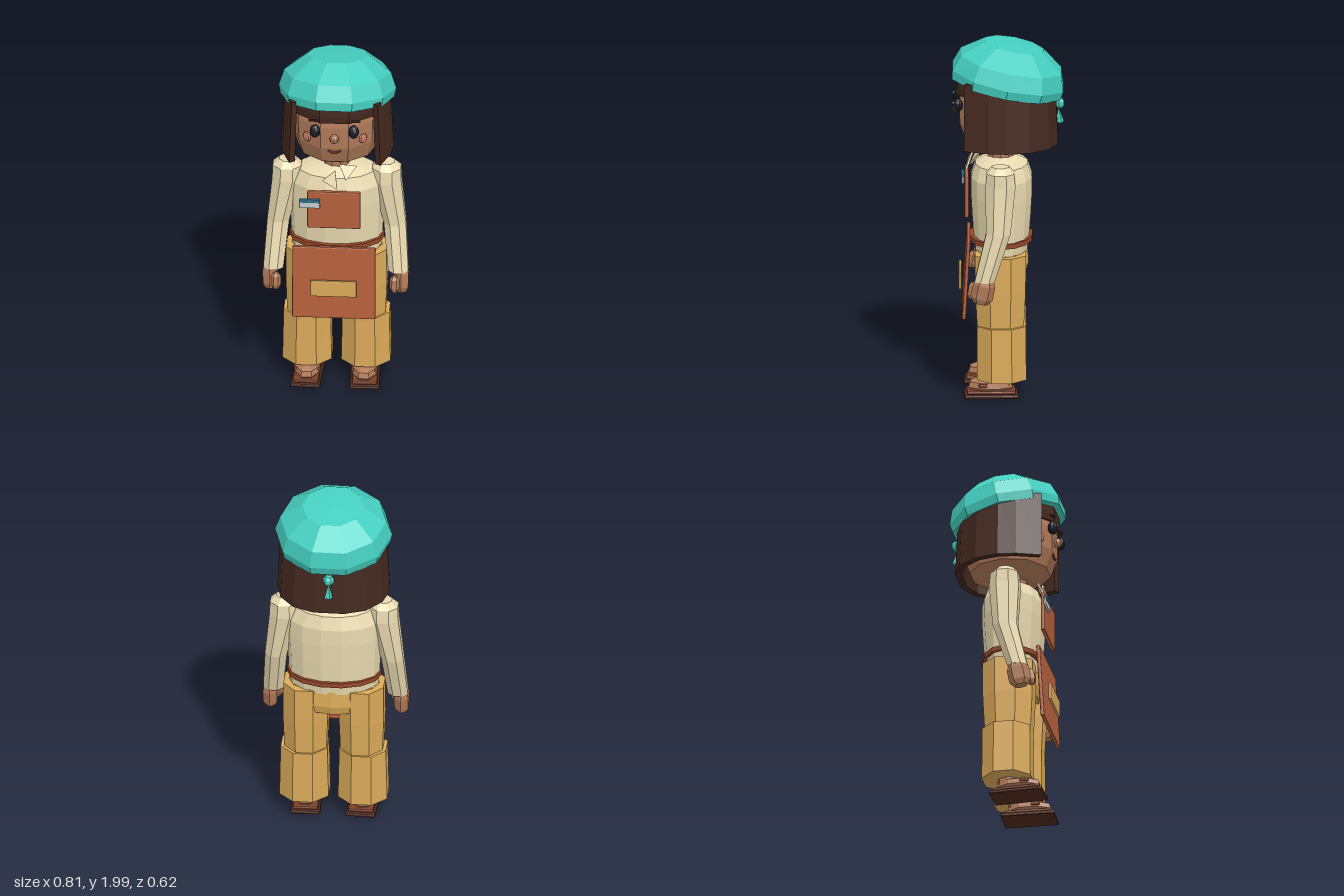
import * as THREE from 'three';
import { RoundedBoxGeometry } from 'three/addons/geometries/RoundedBoxGeometry.js';

const C = {
  skin: 0xb07a58, hair: 0x44291f, beret: 0x45cfc0, shirt: 0xe9dab0, pants: 0xdbab59,
  apron: 0xb4603c, belt: 0x94472a, sole: 0x4f2a1c, strap: 0x7a4028, dark: 0x1c1c28,
  cheek: 0xc47c66, mouth: 0x7a3830, badge: 0xc4ccd0, badgeTop: 0x2a6f8c,
};
const mats = {};
const mat = (key) => mats[key] ??= new THREE.MeshStandardMaterial({
  color: C[key], flatShading: true, side: THREE.DoubleSide });

export function createModel() {
  const root = new THREE.Group();
  root.name = 'apronFigure';

  function add(name, geo, color, pos = [0, 0, 0], rot = [0, 0, 0], scale = [1, 1, 1]) {
    const m = new THREE.Mesh(geo, mat(color));
    m.name = name;
    m.position.set(...pos);
    m.rotation.set(...rot);
    m.scale.set(...scale);
    root.add(m);
    return m;
  }

  // Closed tube through elliptical sections [y, rx, rz, cx, cz], lowest first
  function loft(sections, n, phase = 0) {
    const pos = [], idx = [];
    for (const [y, rx, rz, cx = 0, cz = 0] of sections) {
      for (let i = 0; i < n; i++) {
        const a = phase + (i / n) * Math.PI * 2;
        pos.push(cx + Math.cos(a) * rx, y, cz + Math.sin(a) * rz);
      }
    }
    const last = sections.length - 1;
    for (let j = 0; j < last; j++) {
      for (let i = 0; i < n; i++) {
        const a = j * n + i, b = j * n + (i + 1) % n;
        idx.push(a, a + n, b, b, a + n, b + n);
      }
    }
    const base = pos.length / 3;
    for (const j of [0, last]) {
      const [y, , , cx = 0, cz = 0] = sections[j];
      pos.push(cx, y, cz);
    }
    for (let i = 0; i < n; i++) {
      const k = (i + 1) % n;
      idx.push(base, i, k, base + 1, last * n + k, last * n + i);
    }
    const g = new THREE.BufferGeometry();
    g.setAttribute('position', new THREE.Float32BufferAttribute(pos, 3));
    g.setIndex(idx);
    g.computeVertexNormals();
    return g;
  }
  const box = (w, h, d, r = 0.008) => new RoundedBoxGeometry(w, h, d, 1, Math.min(r, d * 0.4));
  const ball = (r, w = 8, h = 6) => new THREE.SphereGeometry(r, w, h);

  // Head and neck
  add('head', loft([[1.375, 0.13, 0.13], [1.43, 0.22, 0.225], [1.53, 0.25, 0.262],
    [1.66, 0.253, 0.265], [1.82, 0.23, 0.235]], 10), 'skin', [0, 0, 0.01]);
  add('neck', loft([[1.3, 0.078, 0.075], [1.4, 0.075, 0.073]], 10), 'skin', [0, 0, 0.035]);

  // Face
  add('nose', ball(0.026), 'skin', [0, 1.6, 0.275]);
  add('mouth', new THREE.TorusGeometry(0.045, 0.006, 5, 8, 1.7), 'mouth',
    [0, 1.55, 0.258], [0, 0, -Math.PI / 2 - 0.85], [1, 1, 1]);
  for (const s of [1, -1]) {
    add('eye', ball(0.03, 10, 8), 'dark', [s * 0.107, 1.645, 0.27], [0, s * 0.25, 0], [1, 1.3, 0.9]);
    add('eyeGlint', ball(0.007, 6, 4), 'badge', [s * 0.107 + 0.01, 1.662, 0.295]);
    add('eyebrow', box(0.05, 0.012, 0.014), 'hair', [s * 0.12, 1.712, 0.272], [0, s * 0.3, -s * 0.1]);
    add('cheek', ball(0.027), 'cheek', [s * 0.155, 1.575, 0.21], [0, s * 0.65, 0], [1, 1.1, 0.5]);
  }

  // Bobbed hair: a thick wall open at the face, narrowing upward
  const half = [[0.252, 0.235], [0.3, 0.1], [0.312, 0], [0.283, -0.13], [0.2, -0.235], [0.085, -0.283]];
  const outer = [...half, ...half.map(([x, z]) => [-x, z]).reverse()];
  const inner = outer.map(([x, z]) => [x * 0.88, z > 0.2 ? z - 0.02 : z * 0.88]).reverse();
  const wall = new THREE.Shape([...outer, ...inner].map(([x, z]) => new THREE.Vector2(x, -z)));
  const hairGeo = new THREE.ExtrudeGeometry(wall, { depth: 0.38, bevelEnabled: false });
  hairGeo.rotateX(-Math.PI / 2);
  const hp = hairGeo.attributes.position;
  for (let i = 0; i < hp.count; i++) {
    const k = 1 - 0.06 * (hp.getY(i) / 0.38);
    hp.setX(i, hp.getX(i) * k);
    hp.setZ(i, hp.getZ(i) * (hp.getZ(i) > 0 ? 1 : k));
  }
  hairGeo.computeVertexNormals();
  add('hair', hairGeo, 'hair', [0, 1.418, 0]);
  add('fringe', loft([[1.695, 0.262, 0.272], [1.74, 0.268, 0.276], [1.8, 0.262, 0.27]], 10),
    'hair', [0, 0, 0.012]);

  // Beret, tipped back, with its knot and tail
  add('beret', loft([[0, 0.315, 0.32], [0.05, 0.325, 0.328], [0.14, 0.295, 0.297],
    [0.235, 0.17, 0.17], [0.245, 0.01, 0.01]], 10), 'beret', [0, 1.73, 0.005], [-0.2, 0, 0]);
  add('beretKnot', ball(0.033, 6, 5), 'beret', [0, 1.63, -0.288]);
  add('beretTail', new THREE.ConeGeometry(0.024, 0.09, 4), 'beret', [0, 1.565, -0.288], [0.1, 0.4, 0]);

  // Shirt body
  add('shirt', loft([[0.8, 0.245, 0.145], [0.88, 0.252, 0.155], [1.0, 0.257, 0.165], [1.12, 0.262, 0.172],
    [1.22, 0.258, 0.172], [1.295, 0.215, 0.148], [1.335, 0.08, 0.075]], 14), 'shirt', [0, 0, 0.03]);

  // Collar flaps
  const flap = (name, pts) => {
    const g = new THREE.BufferGeometry();
    const [a, b, c] = pts.map((p) => new THREE.Vector3(...p));
    const t = new THREE.Vector3().crossVectors(b.clone().sub(a), c.clone().sub(a)).setLength(0.012);
    const [d, e, f] = [a, b, c].map((p) => p.clone().sub(t));
    const tris = [a, b, c, d, f, e, a, d, e, a, e, b, b, e, f, b, f, c, c, f, d, c, d, a];
    g.setFromPoints(tris);
    g.computeVertexNormals();
    add(name, g, 'shirt');
  };
  flap('collarRight', [[-0.07, 1.3, 0.215], [0.013, 1.255, 0.23], [0, 1.355, 0.195]]);
  flap('collarLeft', [[0.02, 1.38, 0.165], [0.06, 1.3, 0.205], [0.12, 1.37, 0.16]]);

  // Sleeves and hands
  for (const s of [1, -1]) {
    const sleeve = [[0.705, 0.06, 0.06, 0.345, 0.122], [0.97, 0.066, 0.073, 0.322, 0.047],
      [1.23, 0.088, 0.09, 0.275, 0.035], [1.305, 0.085, 0.082, 0.275, 0.035], [1.34, 0.05, 0.05, 0.272, 0.035]];
    add('sleeve', loft(sleeve.map(([y, rx, rz, cx, cz]) => [y, rx, rz, s * cx, cz]), 8, Math.PI / 8), 'shirt');
    add('hand', loft([[-0.075, 0.03, 0.04], [-0.045, 0.044, 0.062], [0.03, 0.046, 0.062], [0.07, 0.035, 0.045]],
      6, Math.PI / 6), 'skin', [s * 0.363, 0.655, 0.13], [-0.2, 0, 0]);
    add('thumb', loft([[-0.045, 0.015, 0.015], [-0.02, 0.027, 0.027], [0.03, 0.027, 0.027], [0.05, 0.014, 0.014]],
      6), 'skin', [s * 0.327, 0.645, 0.19], [-0.15, 0, 0]);
  }

  // Trousers
  add('hips', loft([[0.67, 0.235, 0.135], [0.72, 0.255, 0.15], [0.815, 0.25, 0.145]], 12), 'pants', [0, 0, 0.03]);
  for (const s of [1, -1]) {
    add('upperLeg', loft([[0.38, 0.125, 0.138], [0.6, 0.134, 0.15], [0.81, 0.132, 0.152]], 8, Math.PI / 8),
      'pants', [s * 0.155, 0, 0.035]);
    add('lowerLeg', loft([[0.105, 0.147, 0.148], [0.41, 0.14, 0.145]], 8, Math.PI / 8),
      'pants', [s * 0.162, 0, 0.029]);
  }

  // Sandals and feet
  for (const s of [1, -1]) {
    const x = s * 0.158;
    add('sole', box(0.165, 0.022, 0.3), 'sole', [x, 0.011, 0.087], [0, s * 0.04, 0]);
    add('insole', box(0.14, 0.02, 0.27), 'strap', [x, 0.032, 0.087], [0, s * 0.04, 0]);
    add('foot', loft([[0.035, 0.06, 0.115], [0.055, 0.078, 0.132], [0.085, 0.07, 0.122], [0.1, 0.045, 0.09]],
      8, Math.PI / 8), 'skin', [x, 0, 0.09]);
    add('sandalStrap', box(0.15, 0.022, 0.05), 'strap', [x, 0.072, 0.13]);
    add('ankle', loft([[0.06, 0.055, 0.06], [0.2, 0.055, 0.06]], 8), 'skin', [x, 0, 0.03]);
  }

  // Apron: belt, bib, skirt, pocket and badge
  add('belt', loft([[0.86, 0.262, 0.177], [0.888, 0.262, 0.177]], 14), 'belt', [0, 0, 0.033]);
  add('bib', box(0.295, 0.23, 0.024), 'apron', [-0.005, 1.125, 0.222]);
  add('apronSkirt', box(0.46, 0.435, 0.022), 'apron', [-0.005, 0.667, 0.224], [-0.06, 0, 0]);
  add('apronPocket', box(0.255, 0.1, 0.016), 'pants', [-0.005, 0.645, 0.258]);
  add('badge', box(0.115, 0.05, 0.014, 0.004), 'badge', [-0.138, 1.168, 0.243]);
  add('badgeStripe', box(0.117, 0.02, 0.018, 0.004), 'badgeTop', [-0.138, 1.187, 0.244]);

  return root;
}
